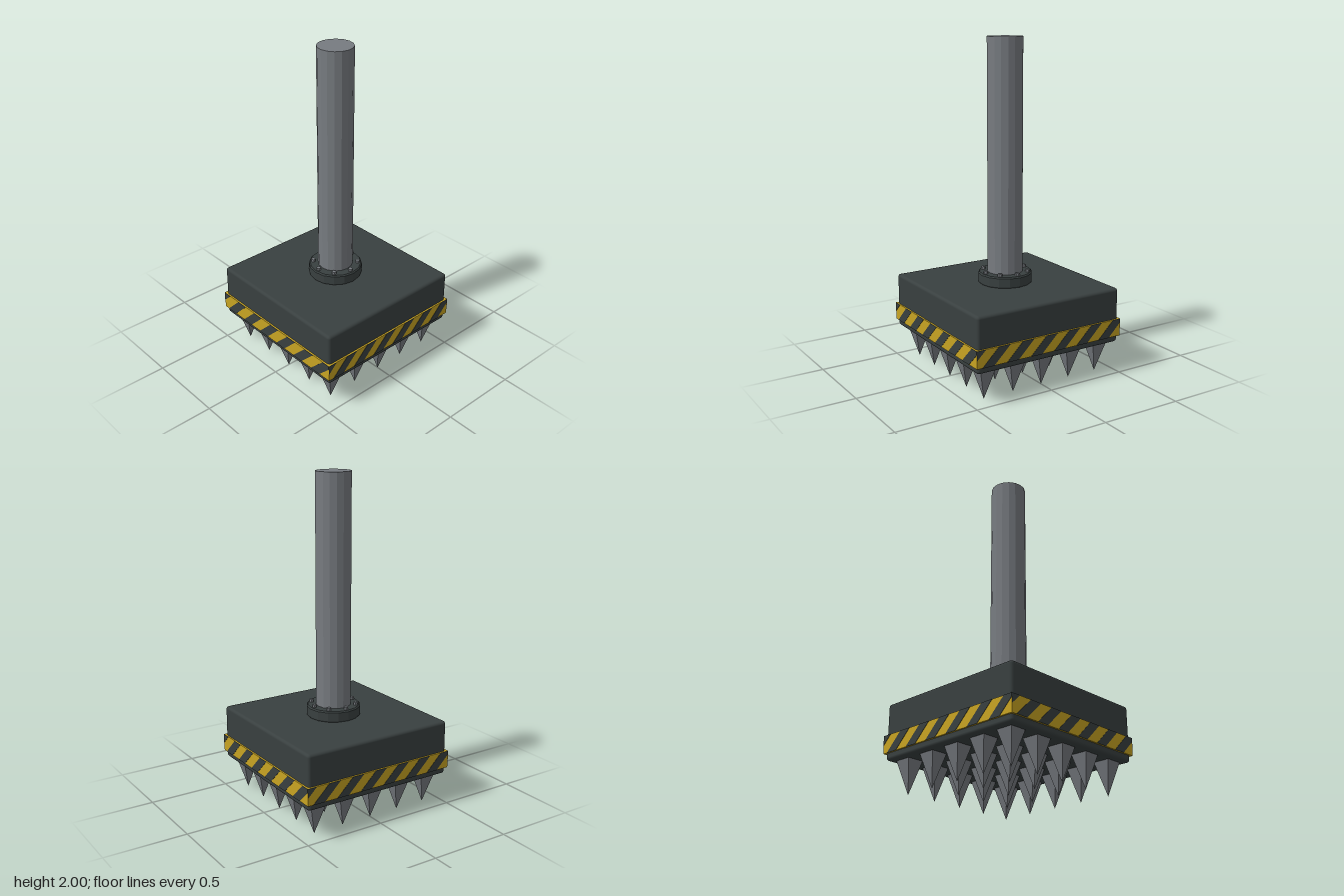
import * as THREE from 'three';
import { RoundedBoxGeometry } from 'three/addons/geometries/RoundedBoxGeometry.js';

const material = (name, color, flatShading = false) => {
  const m = new THREE.MeshStandardMaterial({ color, flatShading });
  m.name = name;
  return m;
};

// Cut a polygon at the vertical line x = limit, keeping the side towards the centre
function clip(points, limit) {
  const inside = (p) => p.x * Math.sign(limit) <= Math.abs(limit);
  const out = [];
  points.forEach((a, i) => {
    const b = points[(i + 1) % points.length];
    if (inside(a)) out.push(a);
    if (inside(a) !== inside(b)) out.push(a.clone().lerp(b, (limit - a.x) / (b.x - a.x)));
  });
  return out;
}

export function createModel() {
  const dark = material('dark iron', 0x394040);
  const steel = material('grey steel', 0x777b80);
  const yellow = material('warning yellow', 0xc8a422);
  dark.flatShading = false;
  steel.flatShading = true;

  const model = new THREE.Group();
  model.name = 'spikedCrusher';
  const add = (name, geometry, mat, x = 0, y = 0, z = 0, parent = model) => {
    const mesh = new THREE.Mesh(geometry, mat);
    mesh.name = name;
    mesh.position.set(x, y, z);
    parent.add(mesh);
    return mesh;
  };

  // Crusher head
  add('head', new RoundedBoxGeometry(0.976, 0.335, 0.976, 2, 0.018), dark, 0, 0.3625, 0);

  // Hazard band with slanted dark stripes on each of its four sides
  const half = 0.498, bottom = 0.235, top = 0.34, slant = 0.108;
  add('hazardBand', new THREE.BoxGeometry(half * 2, top - bottom, half * 2), yellow, 0, (top + bottom) / 2, 0);
  for (let side = 0; side < 4; side++) {
    const stripes = new THREE.Group();
    stripes.name = 'hazardStripes';
    stripes.rotation.y = side * Math.PI / 2;
    model.add(stripes);
    for (let i = 0; i < 7; i++) {
      const x = -0.516 + i * 0.16, w = 0.076;
      const corners = [[x - slant, bottom], [x - slant + w, bottom], [x + w, top], [x, top]]
        .map(([px, py]) => new THREE.Vector2(px, py));
      const outline = clip(clip(corners, half), -half);
      if (outline.length < 3) continue;
      const plate = new THREE.ExtrudeGeometry(new THREE.Shape(outline), { depth: 0.002, bevelEnabled: false });
      add('stripe', plate, dark, 0, 0, half, stripes);
    }
  }

  // Five by five square spikes under the head
  const spike = new THREE.ConeGeometry(0.053 * Math.SQRT2, 0.2, 4);
  spike.rotateY(Math.PI / 4).rotateX(Math.PI);
  for (let i = -2; i <= 2; i++) {
    for (let j = -2; j <= 2; j++) add('spike', spike, steel, i * 0.196, 0.1, j * 0.196);
  }

  // Chamfered mounting flange
  const profile = [[0, 0.525], [0.157, 0.525], [0.164, 0.537], [0.164, 0.589], [0.157, 0.597], [0, 0.597]]
    .map(([r, y]) => new THREE.Vector2(r, y));
  const flange = new THREE.LatheGeometry(profile, 16).toNonIndexed();
  flange.computeVertexNormals();
  add('flange', flange, dark);

  // Ring of bolts
  const bolt = new THREE.CylinderGeometry(0.014, 0.014, 0.02, 6);
  for (let i = 0; i < 8; i++) {
    const a = i * Math.PI / 4;
    add('bolt', bolt, steel, Math.cos(a) * 0.137, 0.603, Math.sin(a) * 0.137);
  }

  // Piston shaft
  add('shaft', new THREE.CylinderGeometry(0.107, 0.107, 1.42, 16), steel, 0, 1.29, 0);

  return model;
}
